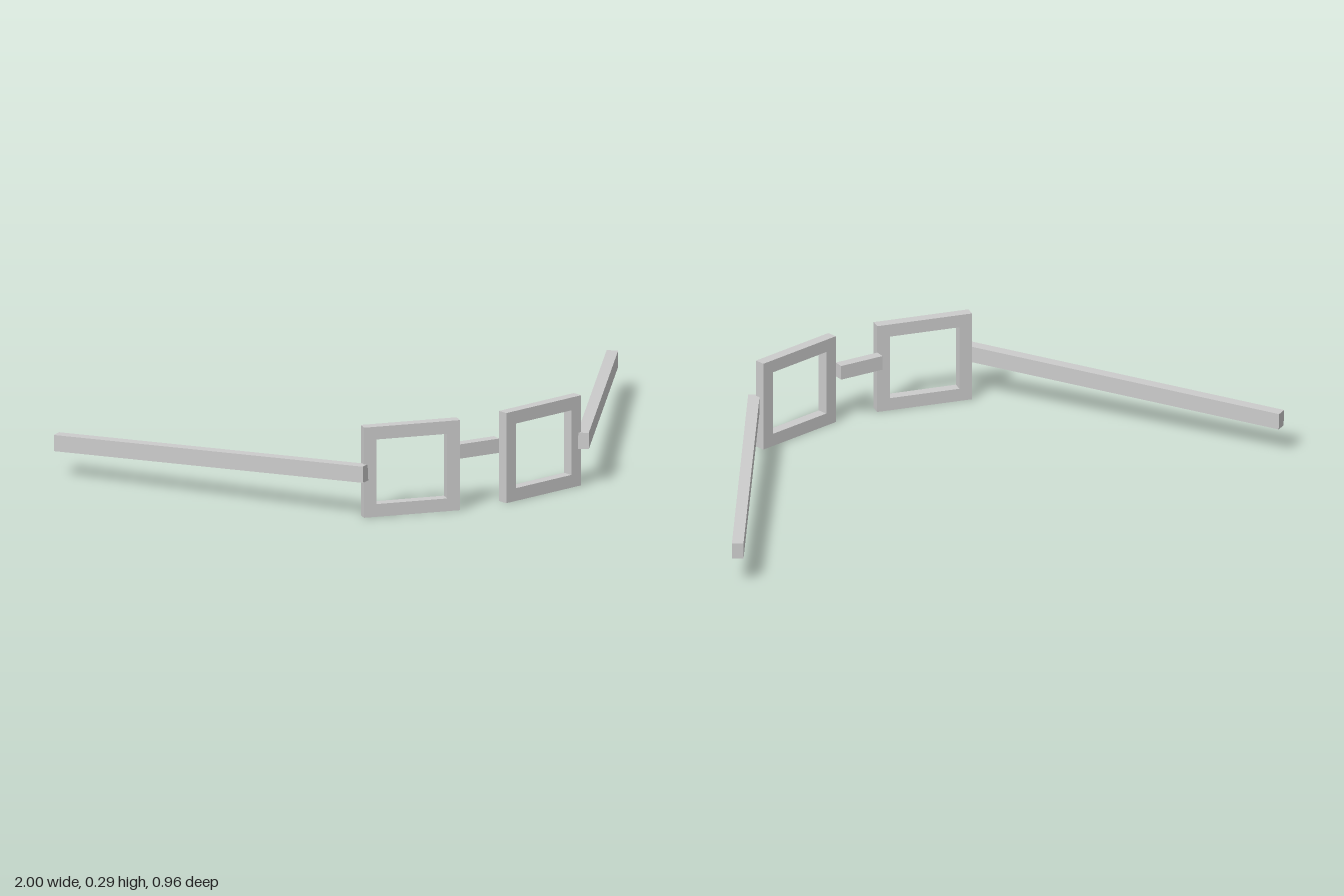
import * as THREE from 'three';

const material = new THREE.MeshStandardMaterial({ color: 0xcccccc, flatShading: true });

function box(name, w, h, d) {
  const mesh = new THREE.Mesh(new THREE.BoxGeometry(w, h, d), material);
  mesh.name = name;
  return mesh;
}

// Rectangular frame with a rectangular opening, centred on its origin
function rimGeometry(w, h, border, depth) {
  const rect = (path, a, b) =>
    path.moveTo(-a, -b).lineTo(a, -b).lineTo(a, b).lineTo(-a, b).closePath();
  const shape = new THREE.Shape();
  rect(shape, w / 2, h / 2);
  const opening = new THREE.Path();
  rect(opening, w / 2 - border, h / 2 - border);
  shape.holes.push(opening);
  const geometry = new THREE.ExtrudeGeometry(shape, { depth, bevelEnabled: false });
  return geometry.translate(0, 0, -depth / 2);
}

export function createModel() {
  const glasses = new THREE.Group();
  glasses.name = 'glasses';

  // Bridge between the rims
  const bridge = box('bridge', 0.15, 0.046, 0.032);
  bridge.position.set(0, 0.178, 0.431);
  glasses.add(bridge);

  const rimShape = rimGeometry(0.31, 0.29, 0.041, 0.034);
  for (const [side, s] of [['left', 1], ['right', -1]]) {
    // Rim, swept back towards its outer edge
    const rim = new THREE.Mesh(rimShape, material);
    rim.name = side + 'Rim';
    rim.position.set(s * 0.23, 0.145, 0.43);
    rim.rotation.y = s * 0.218;
    glasses.add(rim);

    // Temple arm, splayed outwards and sloping down to the back
    const temple = box(side + 'Temple', 0.036, 0.052, 1.077);
    temple.position.set(s * 0.685, 0.128, -0.0225);
    temple.rotation.set(-0.033, s * -0.591, 0, 'YXZ');
    glasses.add(temple);
  }
  return glasses;
}
